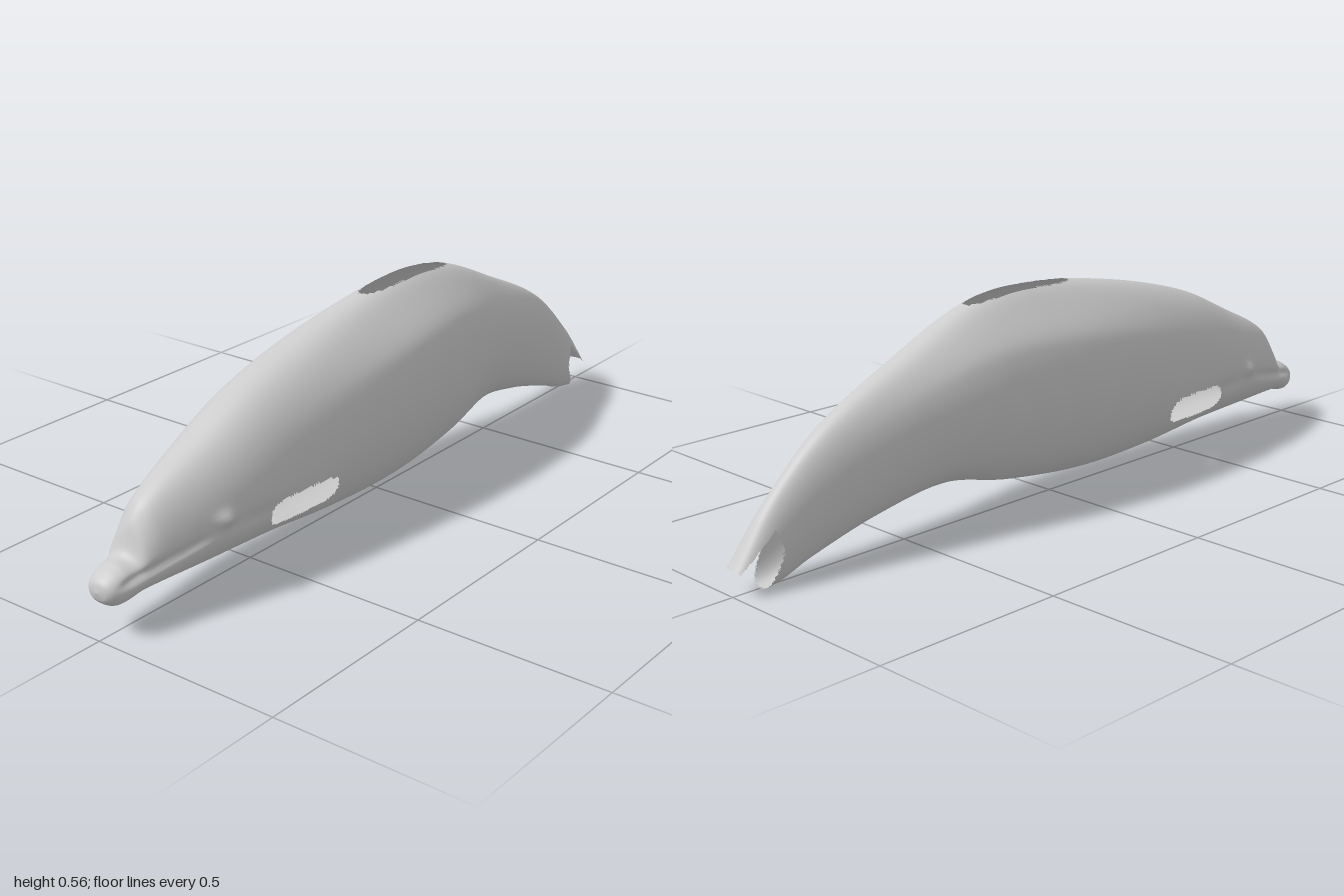
import * as THREE from 'three';

const { smoothstep, lerp } = THREE.MathUtils;
const RINGS = 260, AROUND = 112;

// Smooth curve through [x, value] points
function profile(...points) {
  const slope = (i) => {
    const a = points[Math.max(0, i - 1)], b = points[Math.min(points.length - 1, i + 1)];
    return (b[1] - a[1]) / (b[0] - a[0]);
  };
  return (x) => {
    let i = 0;
    while (i < points.length - 2 && x > points[i + 1][0]) i++;
    const [x0, v0] = points[i], [x1, v1] = points[i + 1];
    const d = x1 - x0, f = (x - x0) / d, g = 1 - f;
    return v0 * g * g * (1 + 2 * f) + v1 * f * f * (1 + 2 * g) + d * f * g * (slope(i) * g - slope(i + 1) * f);
  };
}

// Outline of beak, forehead and back
const backLine = profile([-1, 0.121], [-0.995, 0.141], [-0.975, 0.158], [-0.95, 0.17], [-0.912, 0.187],
  [-0.89, 0.245], [-0.85, 0.293], [-0.7, 0.368], [-0.5, 0.457], [-0.2, 0.531], [0.1, 0.569],
  [0.28, 0.548], [0.5, 0.456], [0.74, 0.337], [0.9, 0.195], [1, 0.065]);
// Outline of jaw and belly
const bellyLine = profile([-1, 0.119], [-0.995, 0.1], [-0.975, 0.083], [-0.95, 0.081], [-0.9, 0.092],
  [-0.55, 0.087], [-0.3, 0.065], [-0.05, 0.06], [0.2, 0.086], [0.4, 0.125], [0.6, 0.095],
  [0.8, 0.038], [0.87, 0.012], [0.94, 0]);
const halfWidth = profile([-1, 0.002], [-0.995, 0.026], [-0.975, 0.045], [-0.94, 0.056], [-0.88, 0.067],
  [-0.7, 0.11], [-0.5, 0.136], [-0.05, 0.163], [0.25, 0.141], [0.5, 0.098], [0.74, 0.062],
  [0.87, 0.046], [1, 0.042]);
// Height at which each cross-section is widest
const widestLine = profile([-1, 0.12], [-0.9, 0.135], [-0.6, 0.21], [-0.2, 0.28], [0.2, 0.31],
  [0.42, 0.305], [0.7, 0.215], [0.9, 0.105], [1, 0.035]);

const bell = (d, r) => Math.exp(-(d * d) / (r * r));

// Sideways relief: mouth crease, eye and the fold behind it
function relief(x, y) {
  const mouthY = 0.132 + (x + 0.98) * 0.21;
  const along = smoothstep(x, -0.99, -0.94) * (1 - smoothstep(x, -0.78, -0.7));
  const crease = -0.008 * along * bell(y - mouthY, 0.011);
  const eye = 0.013 * bell(Math.hypot((x + 0.695) / 1.5, y - 0.213), 0.016);
  const fold = -0.006 * bell(x + 0.6, 0.1) * bell(y - 0.19, 0.022);
  return crease + eye + fold;
}

// Openings where the flippers, dorsal fin and flukes would join
function inOpening(x, y, z) {
  const flipper = ((x + 0.44) / 0.113) ** 4 + (Math.abs(y - 0.167) / 0.037) ** 3 < 1;
  const dorsal = y > 0.45 && ((x - 0.115) / 0.177) ** 4 + (z / 0.031) ** 2 < 1;
  const edge = 0.885 + (y < 0.08 ? (0.08 - y) * 0.5 : (y - 0.08) * 0.25);
  const fluke = x > edge && y < 0.145 - (x - 0.9) * 0.9;
  return flipper || dorsal || fluke;
}

// One cross-section; those of the tail lean back along the bend
function addRing(pos, x) {
  const xBelly = x - 0.06 * smoothstep(x, 0.35, 1);
  const top = backLine(x), bottom = bellyLine(xBelly), mid = widestLine(x), width = halfWidth(x);
  const round = 0.95 + 0.5 * bell(x + 0.9, 0.035) - 0.2 * smoothstep(x, 0.85, 1);
  const pinch = 0.3 * bell(x - 0.1, 0.35);
  for (let j = 0; j < AROUND; j++) {
    const a = (j / AROUND) * Math.PI * 2;
    const s = Math.sin(a), c = Math.cos(a);
    const y = mid + s * (s > 0 ? top - mid : mid - bottom);
    const px = lerp(xBelly, x, (y - bottom) / (top - bottom));
    const full = Math.abs(c) ** (s > 0 ? round : 0.75) * (1 - pinch * smoothstep(s, 0.5, 1));
    const z = width * full + relief(px, y) * Math.min(1, Math.abs(c) * 2);
    pos.push(px, y, Math.sign(c) * Math.max(0, z));
  }
}

function bodyGeometry() {
  const pos = [], index = [];
  // Rings lie closer together towards the beak
  for (let i = 0; i <= RINGS; i++) addRing(pos, -1 + 2 * (i / RINGS) ** 1.4);
  const addFace = (...f) => {
    const mean = (k) => f.reduce((sum, v) => sum + pos[v * 3 + k], 0) / 3;
    if (!inOpening(mean(0), mean(1), mean(2))) index.push(...f);
  };
  for (let i = 0; i < RINGS; i++) {
    for (let j = 0; j < AROUND; j++) {
      const a = i * AROUND + j, b = i * AROUND + (j + 1) % AROUND;
      addFace(a, a + AROUND, b);
      addFace(b, a + AROUND, b + AROUND);
    }
  }
  const geometry = new THREE.BufferGeometry();
  geometry.setAttribute('position', new THREE.Float32BufferAttribute(pos, 3));
  geometry.setIndex(index);
  geometry.computeVertexNormals();
  return geometry;
}

export function createModel() {
  const group = new THREE.Group();
  group.name = 'dolphinBody';
  const material = new THREE.MeshStandardMaterial({ color: 0xcccccc, side: THREE.DoubleSide });
  const body = new THREE.Mesh(bodyGeometry(), material);
  body.name = 'bodyShell';
  group.add(body);
  return group;
}
